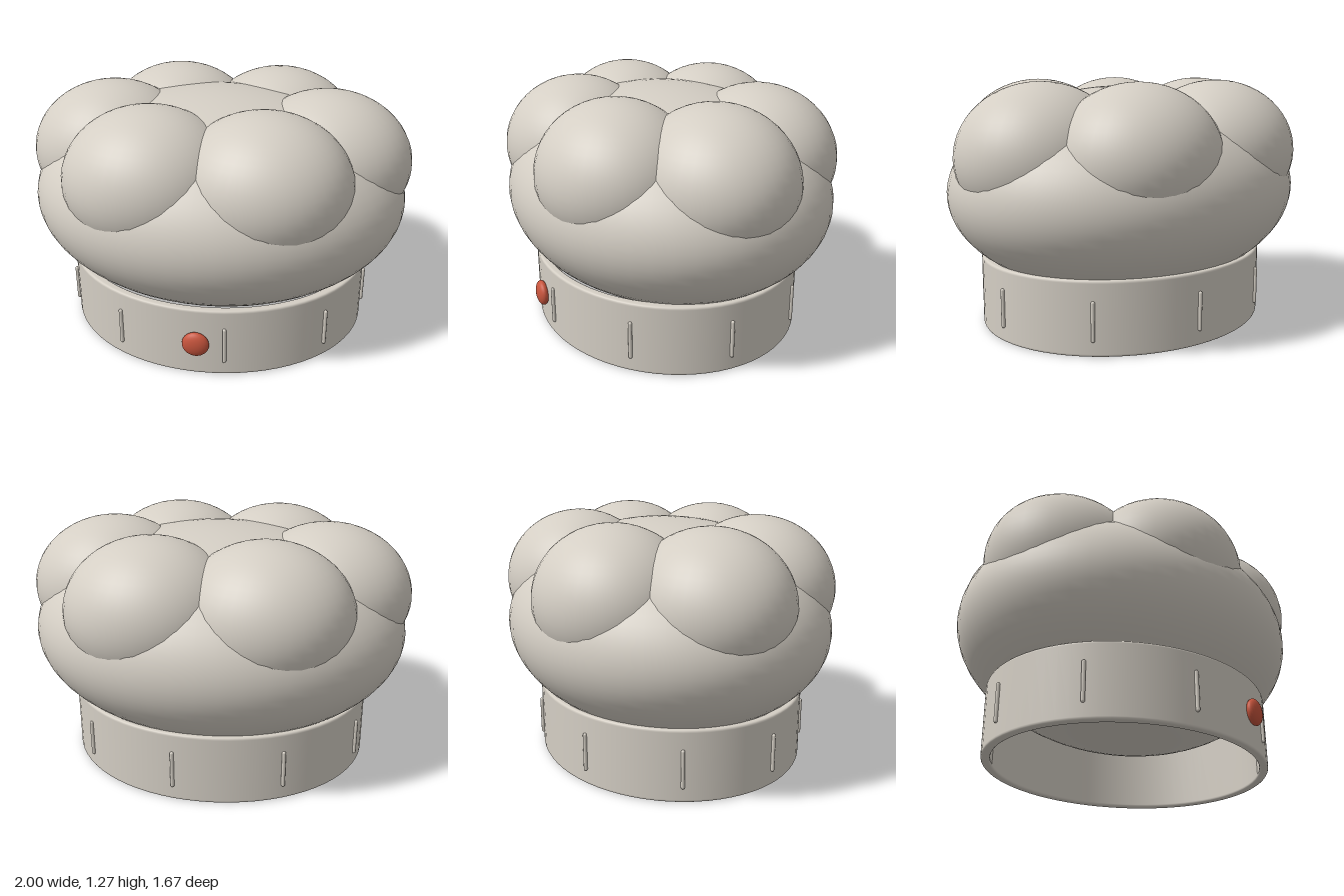
import * as THREE from 'three';

const fabric = new THREE.MeshStandardMaterial({ color: 0xd4cec4 });
fabric.name = 'warm white fabric';
const red = new THREE.MeshStandardMaterial({ color: 0xc8553d });
red.name = 'button red';

// Ellipsoid with given radii and centre
function ellipsoid(name, material, radii, centre, segments = 32) {
  const geometry = new THREE.SphereGeometry(1, segments, Math.round(segments * 0.7));
  geometry.scale(...radii);
  const mesh = new THREE.Mesh(geometry, material);
  mesh.name = name;
  mesh.position.set(...centre);
  return mesh;
}

// Hollow oval ring with slightly rounded rims
function makeBand(rx, rz, thickness, height) {
  const b = 0.014;
  const ri = rx - thickness;
  const outline = new THREE.Shape();
  outline.moveTo(ri + b, 0);
  outline.lineTo(rx - b, 0);
  outline.quadraticCurveTo(rx, 0, rx, b);
  outline.lineTo(rx, height - b);
  outline.quadraticCurveTo(rx, height, rx - b, height);
  outline.lineTo(ri + b, height);
  outline.quadraticCurveTo(ri, height, ri, height - b);
  outline.lineTo(ri, b);
  outline.quadraticCurveTo(ri, 0, ri + b, 0);
  const geometry = new THREE.LatheGeometry(outline.getPoints(4), 72);
  geometry.scale(1, 1, rz / rx);
  const mesh = new THREE.Mesh(geometry, fabric);
  mesh.name = 'headBand';
  return mesh;
}

export function createModel() {
  const hat = new THREE.Group();
  hat.name = 'puffyHat';

  // Band with nine stitched pleats and a front button
  const band = new THREE.Group();
  band.name = 'band';
  band.position.z = 0.015;
  band.add(makeBand(0.8, 0.695, 0.05, 0.37));
  const pleatGeometry = new THREE.CapsuleGeometry(0.01, 0.18, 4, 10);
  for (let i = 0; i < 9; i++) {
    const a = (i / 9) * Math.PI * 2;
    const pleat = new THREE.Mesh(pleatGeometry, fabric);
    pleat.name = 'pleat';
    pleat.position.set(0.805 * Math.cos(a), 0.175, 0.7 * Math.sin(a));
    band.add(pleat);
  }
  band.add(ellipsoid('button', red, [0.068, 0.066, 0.032], [0, 0.185, 0.71], 24));
  hat.add(band);

  // Wide crown body
  hat.add(ellipsoid('crown', fabric, [0.985, 0.535, 0.835], [0, 0.7, 0], 56));

  // Ring of six puffs around the top
  for (let i = 0; i < 6; i++) {
    const a = (i / 6) * Math.PI * 2;
    hat.add(ellipsoid('puff', fabric, [0.435, 0.367, 0.397],
      [0.565 * Math.cos(a), 0.9, 0.45 * Math.sin(a)], 40));
  }
  return hat;
}
